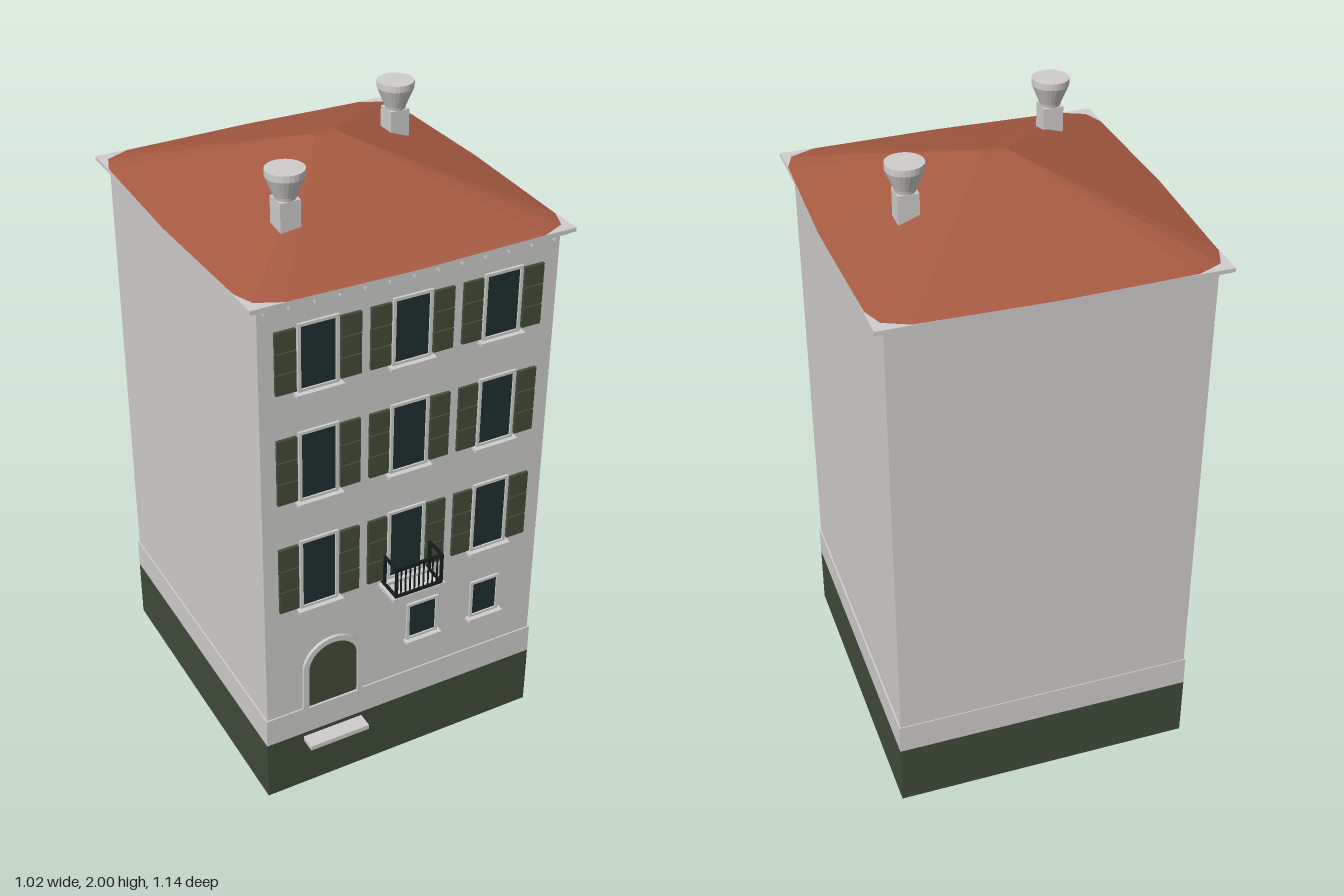
import * as THREE from 'three';

const mat = (name, color) => {
  const m = new THREE.MeshStandardMaterial({ color });
  m.name = name;
  return m;
};

export function createModel() {
  const wall = mat('plaster', 0xcfcecc);
  const green = mat('plinthGreen', 0x404b3a);
  const shutterGreen = mat('shutterGreen', 0x424c39);
  const glass = mat('darkGlass', 0x1f2e2f);
  const tile = mat('roofTile', 0xa65a41);
  const iron = mat('iron', 0x151c1c);

  const house = new THREE.Group();
  house.name = 'townhouse';
  const CZ = -0.025;   // centre of the body in z
  const FRONT = 0.48;  // front wall plane

  const add = (name, geo, material, parent = house) => {
    const m = new THREE.Mesh(geo, material);
    m.name = name;
    parent.add(m);
    return m;
  };
  // Box given by its limits on each axis
  const box = (name, material, x0, x1, y0, y1, z0, z1, parent = house) => {
    const m = add(name, new THREE.BoxGeometry(x1 - x0, y1 - y0, z1 - z0), material, parent);
    m.position.set((x0 + x1) / 2, (y0 + y1) / 2, (z0 + z1) / 2);
    return m;
  };
  const group = (name) => {
    const g = new THREE.Group();
    g.name = name;
    house.add(g);
    return g;
  };

  // Body: painted plinth, base band, main walls
  box('plinth', green, -0.475, 0.475, 0, 0.21, -0.533, 0.485);
  box('baseBand', wall, -0.475, 0.475, 0.21, 0.31, -0.533, 0.485);
  box('walls', wall, -0.47, 0.47, 0.31, 1.735, -0.53, FRONT);

  // Stepped eaves with small brackets along the front
  box('eavesLower', wall, -0.487, 0.487, 1.735, 1.745, -0.547, 0.497);
  box('eavesUpper', wall, -0.502, 0.502, 1.745, 1.757, -0.562, 0.51);
  for (let i = 0; i < 13; i++) {
    const x = -0.45 + i * 0.075;
    box('bracket', wall, x - 0.006, x + 0.006, 1.72, 1.736, FRONT, 0.495);
  }

  // Hipped roof: rounded-corner outline lofted to a small flat top
  const quarter = [[0.512, 0], [0.5, 0.435], [0.475, 0.5], [0.4, 0.534], [0, 0.544]];
  const outline = [
    ...quarter,
    ...quarter.slice(0, 4).reverse().map(([x, z]) => [-x, z]),
    ...quarter.slice(1).map(([x, z]) => [-x, -z]),
    ...quarter.slice(1, 4).reverse().map(([x, z]) => [x, -z]),
  ];
  const base = outline.map(([x, z]) => [x, 1.757, z + CZ]);
  const top = outline.map(([x, z]) =>
    [Math.sign(x) * 0.042, 1.935, Math.sign(z) * 0.015 + CZ]);
  const pos = [];
  base.forEach((b, i) => {
    const j = (i + 1) % base.length;
    pos.push(...b, ...top[i], ...base[j]);
    pos.push(...base[j], ...top[i], ...top[j]);
    pos.push(0, 1.935, CZ, ...top[j], ...top[i]);
    pos.push(0, 1.757, CZ, ...b, ...base[j]);
  });
  const roofGeo = new THREE.BufferGeometry();
  roofGeo.setAttribute('position', new THREE.Float32BufferAttribute(pos, 3));
  roofGeo.computeVertexNormals();
  add('roof', roofGeo, tile);

  // Chimneys: square shaft with a flared pot
  const potProfile = [[0, 1.905], [0.028, 1.905], [0.033, 1.925], [0.055, 1.978],
    [0.056, 1.98], [0.056, 2], [0, 2]].map(([r, y]) => new THREE.Vector2(r, y));
  const potGeo = new THREE.LatheGeometry(potProfile, 24).toNonIndexed();
  potGeo.computeVertexNormals();
  for (const [x, z] of [[-0.27, 0.255], [0.292, -0.14]]) {
    const g = group('chimney');
    box('chimneyShaft', wall, x - 0.031, x + 0.031, 1.825, 1.915, z - 0.031, z + 0.031, g);
    add('chimneyPot', potGeo, wall, g).position.set(x, 0, z);
  }

  // Window: thin pane, raised frame and projecting sill
  const makeWindow = (g, x, y0, y1, w, sillW) => {
    const h = w / 2, f = 0.009, z1 = FRONT + 0.008;
    box('pane', glass, x - h, x + h, y0, y1, FRONT, FRONT + 0.003, g);
    for (const s of [-1, 1]) {
      const c = x + s * (h + f / 2);
      box('frameSide', wall, c - f / 2, c + f / 2, y0, y1, FRONT, z1, g);
    }
    box('frameTop', wall, x - h - f, x + h + f, y1, y1 + f, FRONT, z1, g);
    box('frameBottom', wall, x - h - f, x + h + f, y0 - f, y0, FRONT, z1, g);
    box('sill', wall, x - sillW / 2, x + sillW / 2, y0 - 0.018, y0 - 0.008, FRONT, 0.503, g);
  };

  // Three floors of shuttered windows
  for (const [y0, y1] of [[0.718, 0.946], [1.104, 1.318], [1.465, 1.658]]) {
    for (const x of [-0.293, -0.003, 0.288]) {
      const g = group('shutteredWindow');
      makeWindow(g, x, y0, y1, 0.106, 0.145);
      for (const s of [-1, 1]) {
        const c = x + s * 0.099;
        box('shutterBack', iron, c - 0.029, c + 0.029, y0 + 0.001, y1 - 0.001, FRONT, FRONT + 0.004, g);
        const step = (y1 - y0) / 3;
        for (let i = 0; i < 3; i++) {
          const a = y0 + i * step;
          box('shutterPanel', shutterGreen, c - 0.031, c + 0.031,
            a + (i ? 0.002 : 0), a + step - (i < 2 ? 0.002 : 0), FRONT, FRONT + 0.01, g);
        }
      }
    }
  }

  // Two small ground-floor windows
  makeWindow(group('smallWindow'), 0.064, 0.452, 0.572, 0.092, 0.125);
  makeWindow(group('smallWindow'), 0.289, 0.452, 0.572, 0.086, 0.125);

  // Arched door with raised surround
  const arch = (Type, r, y0, ySpring) => {
    const s = new Type();
    s.moveTo(-r, y0);
    s.lineTo(r, y0);
    s.lineTo(r, ySpring);
    s.absarc(0, ySpring, r, 0, Math.PI, false);
    s.closePath();
    return s;
  };
  const doorway = group('doorway');
  doorway.position.x = -0.248;
  const surround = arch(THREE.Shape, 0.102, 0.31, 0.458);
  surround.holes.push(arch(THREE.Path, 0.083, 0.311, 0.458));
  add('doorSurround', new THREE.ExtrudeGeometry(surround,
    { depth: 0.01, bevelEnabled: false, curveSegments: 16 }), wall, doorway).position.z = FRONT;
  add('door', new THREE.ExtrudeGeometry(arch(THREE.Shape, 0.083, 0.31, 0.458),
    { depth: 0.003, bevelEnabled: false, curveSegments: 16 }), shutterGreen, doorway).position.z = FRONT;
  box('doorStep', wall, -0.35, -0.147, 0.18, 0.196, FRONT, 0.536);

  // Balcony: slab and iron railing
  const balcony = group('balcony');
  box('balconySlab', wall, -0.091, 0.088, 0.688, 0.7, FRONT, 0.57, balcony);
  const t = 0.004, zr = 0.563;
  for (const y of [0.704, 0.804]) {
    box('frontRail', iron, -0.082, 0.08, y - t, y + t, zr - t, zr + t, balcony);
    for (const x of [-0.078, 0.076]) {
      box('sideRail', iron, x - t, x + t, y - t, y + t, FRONT, zr, balcony);
    }
  }
  for (const x of [-0.078, 0.076]) {
    for (const z of [0.494, zr]) {
      box('railPost', iron, x - t, x + t, 0.7, 0.804, z - t, z + t, balcony);
    }
  }
  for (let i = 1; i < 10; i++) {
    const x = -0.078 + i * 0.0154;
    box('railBar', iron, x - 0.002, x + 0.002, 0.704, 0.804, zr - 0.002, zr + 0.002, balcony);
  }

  return house;
}
